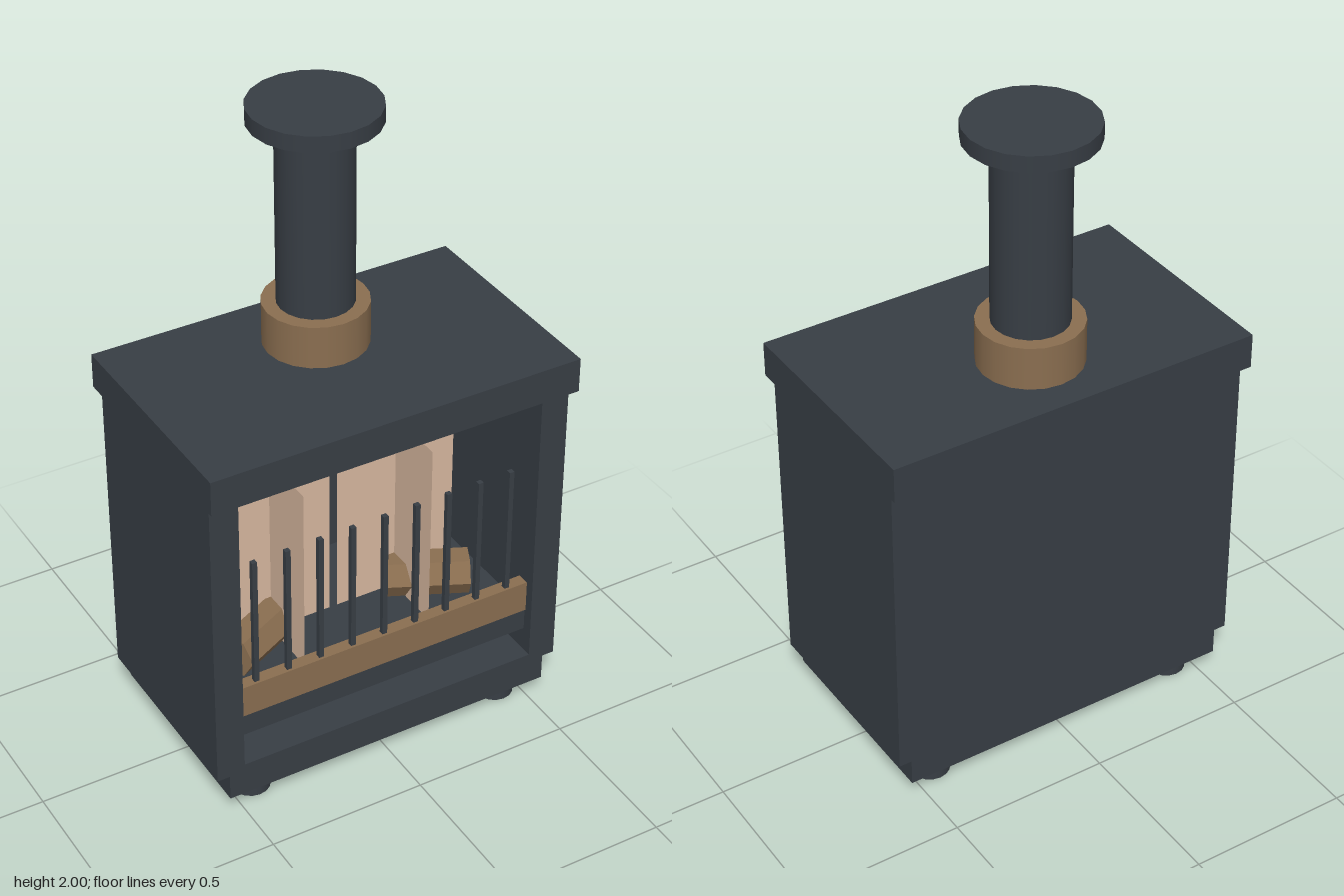
import * as THREE from 'three';

export function createModel() {
  const group = new THREE.Group();
  const material = (name, color) => {
    const m = new THREE.MeshStandardMaterial({ color });
    m.name = name;
    return m;
  };
  const iron = material('dark iron', 0x383e45);
  const brass = material('brown brass', 0x8a6e50);
  const flame = material('pale flame', 0xd8b8a0);
  flame.side = THREE.DoubleSide;

  const add = (name, geometry, mat, x, y, z) => {
    const mesh = new THREE.Mesh(geometry, mat);
    mesh.name = name;
    mesh.position.set(x, y, z);
    group.add(mesh);
    return mesh;
  };
  // Box given by its extents on each axis
  const box = (name, mat, [x0, x1], [y0, y1], [z0, z1]) =>
    add(name, new THREE.BoxGeometry(x1 - x0, y1 - y0, z1 - z0), mat,
      (x0 + x1) / 2, (y0 + y1) / 2, (z0 + z1) / 2);
  // Upright cylinder from y0 to y1
  const post = (name, mat, r, y0, y1, x, z, sides = 20) =>
    add(name, new THREE.CylinderGeometry(r, r, y1 - y0, sides), mat, x, (y0 + y1) / 2, z);

  // Firebox: base, back, walls and lid, with a narrow slot under the lid
  box('base', iron, [-0.545, 0.545], [0.06, 0.17], [-0.325, 0.325]);
  box('backPanel', iron, [-0.495, 0.495], [0.145, 1.115], [-0.325, -0.285]);
  box('topPlate', iron, [-0.595, 0.595], [1.13, 1.24], [-0.36, 0.36]);
  box('grateShelf', iron, [-0.495, 0.495], [0.25, 0.325], [-0.285, 0.29]);

  // Front rail with upright guard bars
  box('frontRail', brass, [-0.495, 0.495], [0.325, 0.43], [0.255, 0.295]);
  for (let i = -4; i <= 4; i++) {
    const x = i * 0.107;
    box('guardBar', iron, [x - 0.008, x + 0.008], [0.42, 0.858], [0.271, 0.287]);
  }

  // Mirrored walls, feet, logs and crossed flame sheets
  for (const s of [-1, 1]) {
    const inner = s * 0.495, outer = s * 0.585;
    box('sideWall', iron, [Math.min(inner, outer), Math.max(inner, outer)], [0.145, 1.13], [-0.325, 0.325]);

    for (const z of [-0.235, 0.235]) post('foot', iron, 0.06, 0, 0.06, s * 0.43, z, 16);

    const logShape = new THREE.CylinderGeometry(0.07, 0.07, 0.26, 6).toNonIndexed();
    logShape.computeVertexNormals();
    logShape.rotateZ(Math.PI / 2);
    add('log', logShape, brass, s * 0.29, 0.386, 0.05).rotation.y = -s * Math.PI / 7;

    for (const turn of [0, Math.PI / 2]) {
      add('flameSheet', new THREE.PlaneGeometry(0.405, 0.62), flame, s * 0.215, 0.635, -0.015).rotation.y = turn;
    }
  }

  // Flue
  post('flueCollar', brass, 0.158, 1.24, 1.375, 0, -0.113);
  post('fluePipe', iron, 0.115, 1.24, 1.95, 0, -0.113);
  post('flueCap', iron, 0.194, 1.95, 2, 0, -0.113);

  return group;
}
